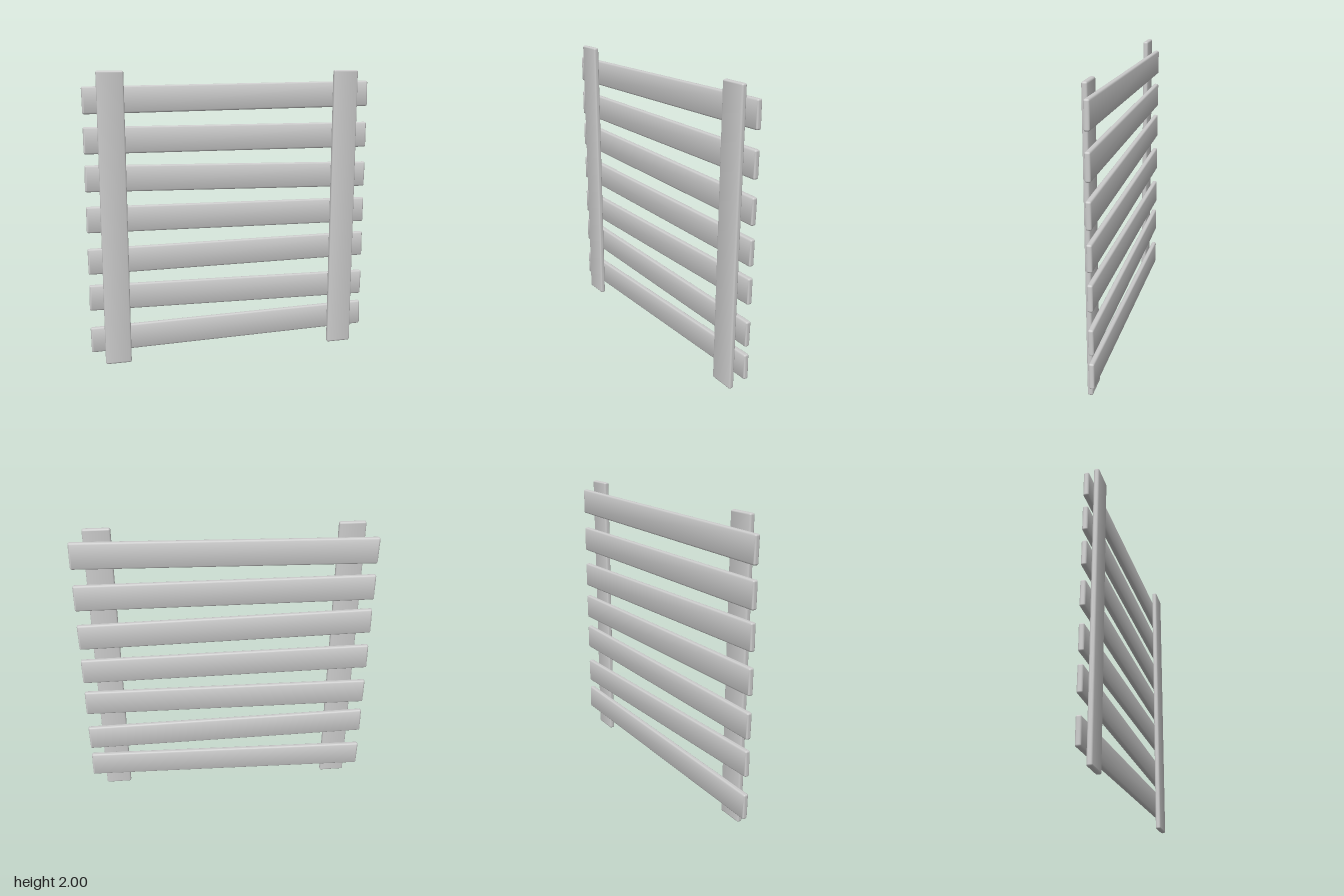
import * as THREE from 'three';
import { RoundedBoxGeometry } from 'three/addons/geometries/RoundedBoxGeometry.js';

const material = new THREE.MeshStandardMaterial({ color: 0xcccccc });
const THICKNESS = 0.036;
const WIDTH = 0.178;

// Flat plank with softened edges; normals lean outwards for a gently pillowed look
function plank(name, width, height) {
  const geometry = new RoundedBoxGeometry(width, height, THICKNESS, 2, 0.012);
  const pos = geometry.attributes.position;
  const nor = geometry.attributes.normal;
  const n = new THREE.Vector3();
  const lengthwise = width > height;
  for (let i = 0; i < pos.count; i++) {
    n.fromBufferAttribute(nor, i);
    if (Math.abs(n.z) > 0.9) {
      if (lengthwise) n.y += 0.25 * Math.sign(pos.getY(i));
      else n.x += 0.25 * Math.sign(pos.getX(i));
      n.normalize();
      nor.setXYZ(i, n.x, n.y, n.z);
    }
  }
  const mesh = new THREE.Mesh(geometry, material);
  mesh.name = name;
  return mesh;
}

export function createModel() {
  const group = new THREE.Group();
  group.name = 'slattedFencePanel';

  // Two upright posts in front
  for (const [name, x] of [['rightPost', -0.817], ['leftPost', 0.817]]) {
    const post = plank(name, WIDTH, 1.994);
    post.position.set(x, x < 0 ? 0.997 : 1.003, THICKNESS / 2);
    group.add(post);
  }

  // Slightly crooked slats behind: centre height at the -x end and at the +x end
  const slats = [
    [0.171, 0.208], [0.474, 0.444], [0.728, 0.741], [1.016, 0.997],
    [1.294, 1.26], [1.545, 1.546], [1.805, 1.837],
  ];
  slats.forEach(([y0, y1], i) => {
    const slat = plank(`slat${i + 1}`, 1.996, WIDTH);
    slat.position.set(0, (y0 + y1) / 2, -THICKNESS / 2);
    slat.rotation.z = Math.atan2(y1 - y0, 2);
    group.add(slat);
  });

  return group;
}
